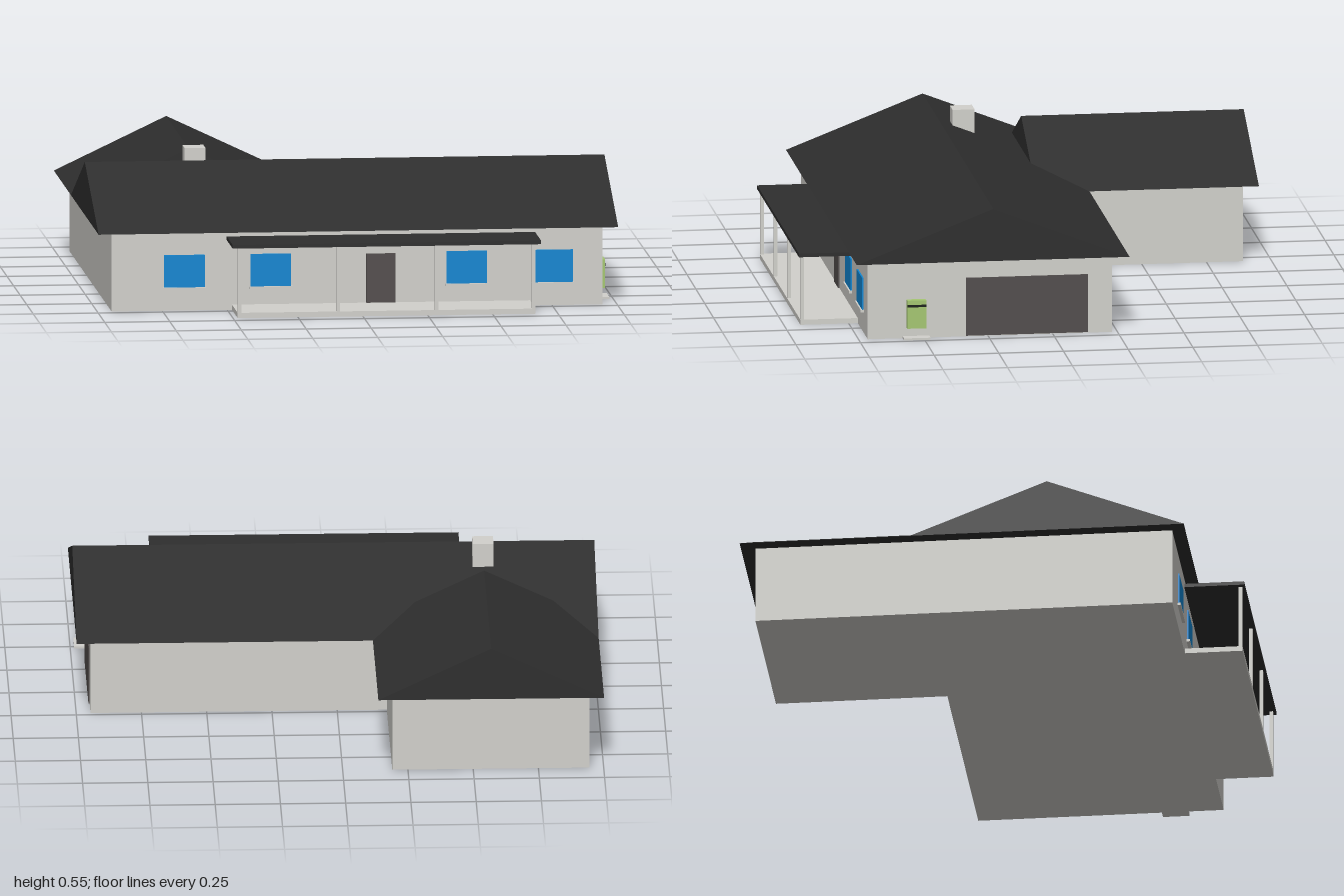
import * as THREE from 'three';

const mat = (name, color) => {
  const m = new THREE.MeshStandardMaterial({ color });
  m.name = name;
  return m;
};

export function createModel() {
  const house = new THREE.Group();
  house.name = 'house';
  const wall = mat('wall plaster', 0xd2d1cc);
  const roof = mat('dark roof', 0x2e2e2e);
  const glass = mat('blue glass', 0x1086d2);
  const door = mat('door grey', 0x534e4d);
  const green = mat('green paint', 0xa5c772);
  const black = mat('black trim', 0x1c1f1a);
  const WALL_TOP = 0.305, RIDGE = 0.51, FRONT = 0.715;

  const add = (name, geometry, material, parent = house) => {
    const mesh = new THREE.Mesh(geometry, material);
    mesh.name = name;
    parent.add(mesh);
    return mesh;
  };
  // Box given by its limits on each axis
  const box = (name, material, [x0, x1], [y0, y1], [z0, z1], parent) => {
    const mesh = add(name, new THREE.BoxGeometry(x1 - x0, y1 - y0, z1 - z0), material, parent);
    mesh.position.set((x0 + x1) / 2, (y0 + y1) / 2, (z0 + z1) / 2);
    return mesh;
  };
  // Gable prism, its ridge running along +z from the origin
  const gable = (name, width, length) => {
    const s = new THREE.Shape();
    s.moveTo(-width / 2, WALL_TOP);
    s.lineTo(width / 2, WALL_TOP);
    s.lineTo(0, RIDGE);
    s.closePath();
    return add(name, new THREE.ExtrudeGeometry(s, { depth: length, bevelEnabled: false }), roof);
  };

  // L-shaped walls, drawn in plan as [x, z]
  const plan = [[-0.945, FRONT], [0.945, FRONT], [0.945, -0.23], [-0.19, -0.23], [-0.19, -0.89], [-0.945, -0.89]];
  const outline = new THREE.Shape(plan.map(([x, z]) => new THREE.Vector2(x, -z)));
  const walls = new THREE.ExtrudeGeometry(outline, { depth: WALL_TOP, bevelEnabled: false });
  add('walls', walls.rotateX(-Math.PI / 2), wall);

  // Roofs: the wing roof runs into the rear slope of the main roof
  const main = gable('mainRoof', 1.055, 2);
  main.rotation.y = Math.PI / 2;
  main.position.set(-1, 0, 0.2375);
  gable('wingRoof', 0.865, 0.86).position.set(-0.5675, 0, -0.945);
  box('chimney', wall, [-0.61, -0.53], [0.4, 0.55], [0.1, 0.185]);

  // Front windows with sills
  for (const x of [-0.665, -0.333, 0.422, 0.752]) {
    const win = new THREE.Group();
    win.name = 'window';
    house.add(win);
    box('windowPane', glass, [x - 0.078, x + 0.078], [0.09, 0.215], [FRONT, FRONT + 0.006], win);
    box('windowSill', wall, [x - 0.083, x + 0.083], [0.081, 0.09], [FRONT, FRONT + 0.012], win);
  }

  // Doors
  box('frontDoor', door, [0.035, 0.147], [0.02, 0.21], [FRONT, FRONT + 0.005]);
  box('garageDoor', door, [0.945, 0.95], [0.003, 0.23], [-0.135, 0.335]);

  // Porch: slab, flat roof and four front posts
  const porch = new THREE.Group();
  porch.name = 'porch';
  house.add(porch);
  box('porchSlab', wall, [-0.482, 0.665], [0, 0.02], [FRONT, 0.937], porch);
  box('porchRoof', roof, [-0.502, 0.685], [0.27, 0.284], [FRONT, 0.945], porch);
  for (const x of [-0.474, -0.095, 0.284, 0.658])
    box('porchPost', wall, [x - 0.007, x + 0.007], [0.02, 0.27], [0.922, 0.936], porch);

  // Green utility cabinet on the garage side, above a small pad
  const cabinet = new THREE.Group();
  cabinet.name = 'utilityCabinet';
  house.add(cabinet);
  box('cabinetBody', green, [0.945, 0.97], [0.042, 0.152], [0.492, 0.565], cabinet);
  box('cabinetStripe', black, [0.97, 0.972], [0.126, 0.135], [0.492, 0.565], cabinet);
  box('cabinetPad', wall, [0.945, 0.985], [0, 0.008], [0.477, 0.58], cabinet);

  return house;
}
